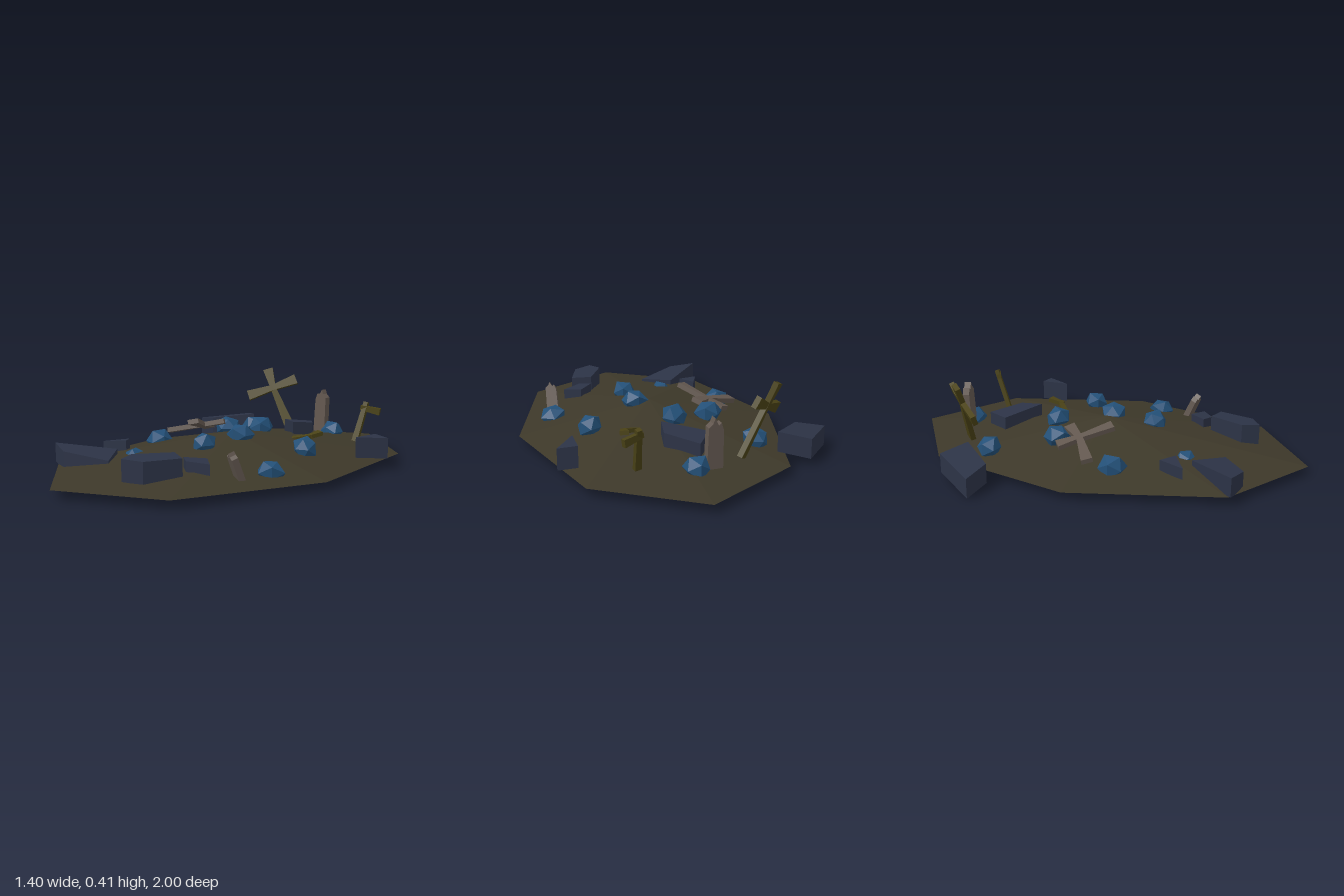
import * as THREE from 'three';

const mat = (color, side = THREE.FrontSide) => new THREE.MeshStandardMaterial({ color, side, flatShading: true });
const V = (p) => new THREE.Vector3(...p);

export function createModel() {
  const model = new THREE.Group();
  const earth = mat(0x3d3829, THREE.DoubleSide), stone = mat(0x2c3346);
  const blue = mat(0x235078), wood = mat(0x4a4216), greyWood = mat(0x62574f);

  const add = (parent, name, geo, material) => {
    const mesh = new THREE.Mesh(geo, material);
    mesh.name = name;
    parent.add(mesh);
    return mesh;
  };
  const group = (name) => {
    const g = new THREE.Group();
    g.name = name;
    model.add(g);
    return g;
  };

  // Shallow eight-sided mound, open underneath
  const mound = new THREE.ConeGeometry(1, 0.135, 8, 1, true);
  mound.scale(0.64, 1, 1).translate(0.06, 0.1125, 0);
  add(model, 'mound', mound, earth);

  // Faceted boulders: centre, radius
  const rocks = group('boulders');
  [
    [0.04, 0.09, -0.72, 0.06], [-0.32, 0.1, -0.47, 0.064], [-0.19, 0.145, -0.17, 0.064],
    [0, 0.16, -0.24, 0.062], [0.39, 0.125, -0.17, 0.064], [0.13, 0.175, 0.01, 0.063],
    [-0.34, 0.09, 0.16, 0.065], [0.13, 0.155, 0.23, 0.063], [0.51, 0.082, 0.16, 0.063],
    [-0.13, 0.08, 0.45, 0.05],
  ].forEach(([x, y, z, r], i) => {
    const geo = new THREE.IcosahedronGeometry(r, 0);
    const p = geo.attributes.position;
    for (let k = 0; k < p.count; k++) {
      // same offset for every copy of a corner
      const n = Math.sin(p.getX(k) / r * 7 + p.getY(k) / r * 13 + p.getZ(k) / r * 5 + i * 2);
      const s = 1.03 + 0.12 * n;
      p.setXYZ(k, p.getX(k) * s, p.getY(k) * s * 0.9, p.getZ(k) * s);
    }
    geo.computeVertexNormals();
    const rock = add(rocks, 'boulder', geo, blue);
    rock.position.set(x, y, z);
    rock.rotation.y = i * 1.3;
  });

  // Tilted stone slabs: x/z outline, bottom height, thickness, slope along x and z
  const slabs = group('stoneSlabs');
  [
    [[[-0.7, -0.4], [-0.53, -0.62], [-0.4, -0.54], [-0.56, -0.37]], 0.03, 0.095, 0.15, 0],
    [[[-0.2, 0.5], [-0.07, 0.63], [-0.27, 0.75], [-0.4, 0.72]], 0.027, 0.092, -0.14, 0],
    [[[0.25, 0.49], [0.35, 0.52], [0.3, 0.69], [0.21, 0.74], [0.17, 0.66]], 0.068, 0.1, -0.06, -0.02],
    [[[-0.01, -0.61], [0.12, -0.49], [0.1, -0.37], [-0.09, -0.49]], 0.085, 0.085, 0.05, 0.12],
    [[[-0.29, 0.37], [-0.23, 0.43], [-0.34, 0.49]], 0.08, 0.055, 0.1, 0],
    [[[0.33, 0.37], [0.41, 0.42], [0.32, 0.48], [0.26, 0.45]], 0.09, 0.05, -0.08, 0],
    [[[0.51, -0.53], [0.6, -0.52], [0.51, -0.39]], 0.065, 0.1, -0.08, 0],
  ].forEach(([outline, y0, h, sx, sz]) => {
    const shape = new THREE.Shape(outline.map(([x, z]) => new THREE.Vector2(x, -z)));
    const geo = new THREE.ExtrudeGeometry(shape, { depth: h, bevelEnabled: false });
    geo.rotateX(-Math.PI / 2);
    const cx = outline.reduce((s, q) => s + q[0], 0) / outline.length;
    const cz = outline.reduce((s, q) => s + q[1], 0) / outline.length;
    const p = geo.attributes.position;
    for (let k = 0; k < p.count; k++) {
      p.setY(k, p.getY(k) + y0 + sx * (p.getX(k) - cx) + sz * (p.getZ(k) - cz));
    }
    geo.computeVertexNormals();
    add(slabs, 'slab', geo, stone);
  });

  // Board from a to b, width w0 to w1, lying in the plane of the given normal
  function board(parent, name, a, b, w0, w1, thick, normal, material) {
    const A = V(a), B = V(b), y = B.clone().sub(A), len = y.length();
    y.normalize();
    const x = y.clone().cross(V(normal)).normalize(), z = x.clone().cross(y);
    const geo = new THREE.BoxGeometry(1, len, thick);
    const p = geo.attributes.position;
    for (let k = 0; k < p.count; k++) p.setX(k, p.getX(k) * (p.getY(k) < 0 ? w0 : w1));
    geo.applyMatrix4(new THREE.Matrix4().makeBasis(x, y, z).setPosition(A.add(B).multiplyScalar(0.5)));
    geo.computeVertexNormals();
    add(parent, name, geo, material);
  }

  // Four flared boards meeting at a hub
  function cross(name, hub, tips, material, thick) {
    const g = group(name);
    const normal = V(tips[0]).sub(V(hub)).cross(V(tips[2]).sub(V(hub))).normalize().toArray();
    tips.forEach((tip, i) => board(g, i < 2 ? 'post' : 'arm', hub, tip, 0.03, 0.055, thick, normal, material));
  }
  cross('standingCross', [-0.31, 0.3, -0.605],
    [[-0.36, 0.4, -0.61], [-0.19, 0.08, -0.63], [-0.4, 0.255, -0.5], [-0.225, 0.35, -0.7]], wood, 0.025);
  cross('fallenCross', [-0.23, 0.165, -0.04],
    [[-0.15, 0.185, -0.12], [-0.39, 0.125, 0.055], [-0.29, 0.14, -0.13], [-0.135, 0.21, 0.095]], greyWood, 0.024);

  // Broken cross with one arm left
  const broken = group('brokenCross');
  board(broken, 'post', [0.28, 0.08, -0.64], [0.29, 0.28, -0.71], 0.032, 0.024, 0.022, [0.3, 0.2, 1], wood);
  board(broken, 'arm', [0.27, 0.252, -0.69], [0.36, 0.235, -0.735], 0.024, 0.036, 0.022, [0.4, 0, 1], wood);

  // Bent remains lying on the mound
  const remains = group('brokenBoards');
  board(remains, 'longPiece', [0.19, 0.125, -0.28], [0.275, 0.145, -0.335], 0.035, 0.022, 0.02, [0, 1, 0.2], wood);
  board(remains, 'shortPiece', [0.262, 0.14, -0.315], [0.275, 0.155, -0.39], 0.022, 0.042, 0.02, [0, 1, 0.2], wood);

  // Jagged upright planks: base point, width, height, depth, rotation
  const planks = group('jaggedPlanks');
  [
    [[-0.035, 0.08, -0.71], 0.075, 0.23, 0.035, [-0.05, 0.1, 0]],
    [[0.487, 0.055, 0.31], 0.058, 0.15, 0.03, [0.4, -0.3, 0]],
  ].forEach(([pos, w, h, d, rot]) => {
    const pts = [[-0.5, 0], [0.5, 0], [0.46, 0.82], [0.2, 0.9], [0.08, 1], [-0.14, 0.85], [-0.3, 0.9], [-0.46, 0.75]];
    const shape = new THREE.Shape(pts.map(([x, y]) => new THREE.Vector2(x * w, y * h)));
    const geo = new THREE.ExtrudeGeometry(shape, { depth: d, bevelEnabled: false }).translate(0, 0, -d / 2);
    const plank = add(planks, 'plank', geo, greyWood);
    plank.position.set(...pos);
    plank.rotation.set(...rot);
  });

  return model;
}
